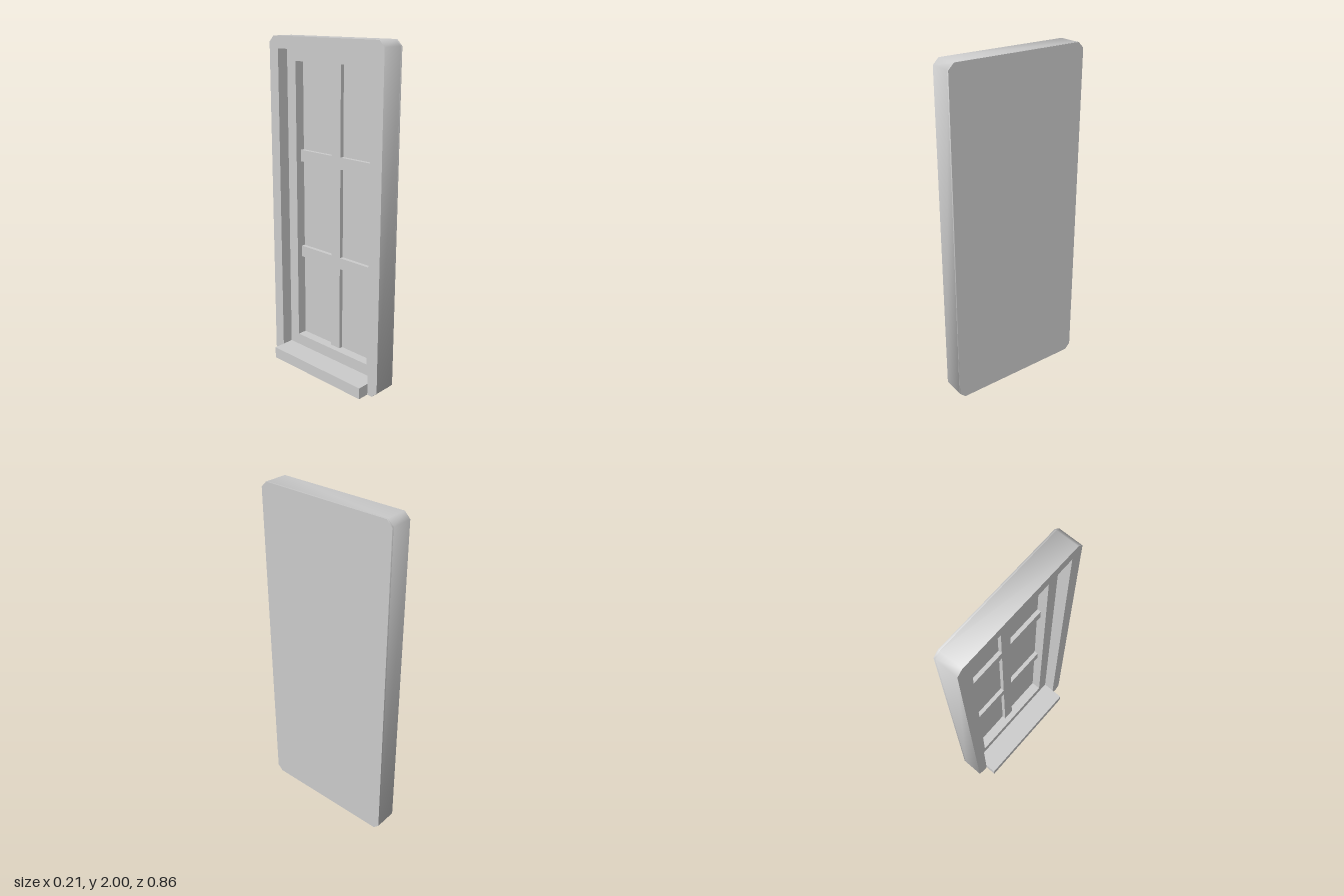
import * as THREE from 'three';
import { toCreasedNormals } from 'three/addons/utils/BufferGeometryUtils.js';

const MID = 1; // height of the window's centre

// Upright rectangle, with optional chamfered corners
function outline(target, halfW, halfH, c = 0) {
  const pts = c
    ? [[-halfW + c, -halfH], [halfW - c, -halfH], [halfW, -halfH + c], [halfW, halfH - c],
       [halfW - c, halfH], [-halfW + c, halfH], [-halfW, halfH - c], [-halfW, -halfH + c]]
    : [[-halfW, -halfH], [halfW, -halfH], [halfW, halfH], [-halfW, halfH]];
  target.setFromPoints(pts.map(([x, y]) => new THREE.Vector2(x, y + MID)));
  return target;
}

export function createModel() {
  const group = new THREE.Group();
  const grey = new THREE.MeshStandardMaterial({ color: 0xcccccc });
  grey.name = 'plain grey';

  function add(name, geometry) {
    const mesh = new THREE.Mesh(geometry, grey);
    mesh.name = name;
    group.add(mesh);
  }

  // Layer of the window between two x positions, with an optional opening
  function layer(name, x0, x1, outer, opening) {
    const shape = outline(new THREE.Shape(), ...outer);
    if (opening) shape.holes.push(outline(new THREE.Path(), ...opening));
    const geo = new THREE.ExtrudeGeometry(shape, { depth: x1 - x0, bevelEnabled: false });
    geo.rotateY(Math.PI / 2).translate(x0, 0, 0);
    add(name, toCreasedNormals(geo, 0.95)); // chamfers shade softly, right angles stay sharp
  }

  function box(name, x0, x1, y0, y1, z0, z1) {
    const geo = new THREE.BoxGeometry(x1 - x0, y1 - y0, z1 - z0);
    add(name, geo.translate((x0 + x1) / 2, (y0 + y1) / 2, (z0 + z1) / 2));
  }

  // Outer casing, recessed sash and closed back with the panes
  layer('outerFrame', -0.035, 0.095, [0.428, 1, 0.034], [0.358, 0.93]);
  layer('sash', 0.035, 0.095, [0.358, 0.93], [0.288, 0.86]);
  layer('backPanel', 0.095, 0.105, [0.428, 1, 0.034]);

  // Glazing bars in front of the panes
  box('verticalBar', 0.071, 0.095, 0.14, 1.86, -0.035, 0.035);
  for (const y of [MID - 0.303, MID + 0.303]) {
    for (const side of [-1, 1]) {
      const z = [side * 0.035, side * 0.288].sort((a, b) => a - b);
      box('horizontalBar', 0.071, 0.095, y - 0.035, y + 0.035, z[0], z[1]);
    }
  }

  // Projecting sill
  box('sill', -0.106, -0.035, 0, 0.07, -0.358, 0.358);

  return group;
}
